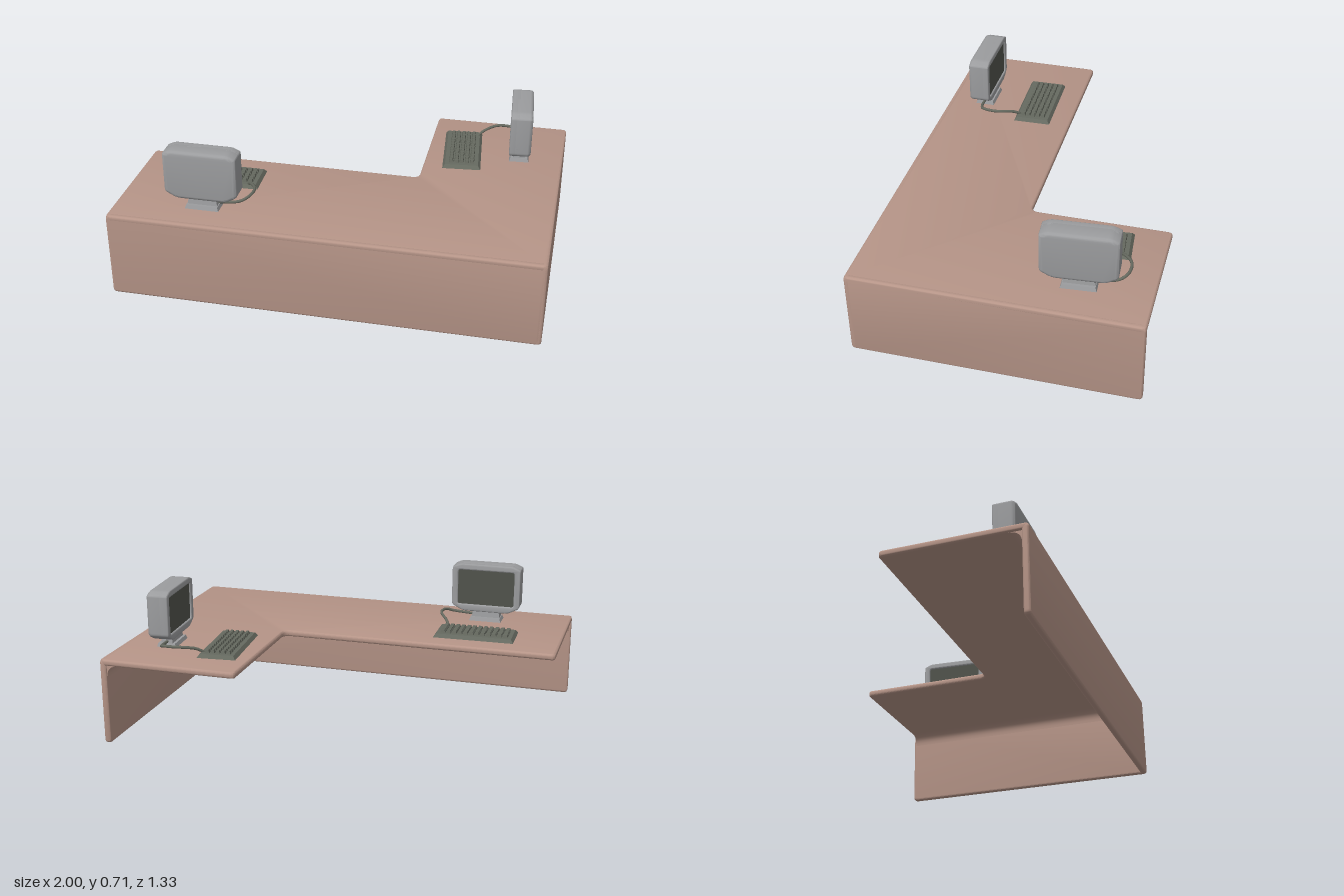
import * as THREE from 'three';
import { mergeGeometries, toCreasedNormals } from 'three/addons/utils/BufferGeometryUtils.js';

const mat = (name, color) => {
  const m = new THREE.MeshStandardMaterial({ color });
  m.name = name;
  return m;
};

// Closed outline with each corner rounded; corners are [x, y, radius]
function roundedOutline(corners, Type = THREE.Shape) {
  const path = new Type();
  const n = corners.length;
  const toward = (a, b, d) => {
    const len = Math.hypot(b[0] - a[0], b[1] - a[1]);
    return [a[0] + ((b[0] - a[0]) * d) / len, a[1] + ((b[1] - a[1]) * d) / len];
  };
  corners.forEach((c, i) => {
    const start = toward(c, corners[(i + n - 1) % n], c[2]);
    const end = toward(c, corners[(i + 1) % n], c[2]);
    if (i === 0) path.moveTo(...start);
    else path.lineTo(...start);
    path.quadraticCurveTo(c[0], c[1], ...end);
  });
  path.closePath();
  return path;
}

// Slab from z = 0 to z = thickness with softened edges kept inside the outline
function slab(shape, thickness, bevel) {
  const g = new THREE.ExtrudeGeometry(shape, {
    depth: thickness - 2 * bevel, bevelEnabled: true, bevelThickness: bevel,
    bevelSize: bevel, bevelOffset: -bevel, bevelSegments: 3, curveSegments: 5,
  });
  return toCreasedNormals(g.translate(0, 0, bevel), 0.7);
}

// Box with its top face shrunk by an inset
function taperedBox(w, h, d, inset) {
  const g = new THREE.BoxGeometry(w, h, d).translate(0, h / 2, 0);
  const p = g.attributes.position;
  for (let i = 0; i < p.count; i++) {
    if (p.getY(i) > h / 2) {
      p.setX(i, p.getX(i) - Math.sign(p.getX(i)) * inset);
      p.setZ(i, p.getZ(i) - Math.sign(p.getZ(i)) * inset);
    }
  }
  g.computeVertexNormals();
  return g;
}

export function createModel() {
  const wood = mat('desk rose brown', 0xb59487);
  const shell = mat('monitor grey', 0x9b9c9e);
  const dark = mat('keyboard grey green', 0x666a60);
  const glass = mat('screen dark grey', 0x50534c);

  const model = new THREE.Group();
  model.name = 'cornerDeskWithComputers';
  const add = (parent, name, geometry, material) => {
    const m = new THREE.Mesh(geometry, material);
    m.name = name;
    parent.add(m);
    return m;
  };

  const H = 0.415, T = 0.03, D = 0.665, R = 0.02;

  // L-shaped desk top
  const top = roundedOutline([
    [-1, -D, R], [1, -D, R], [1, D, R], [0.335, D, R], [0.335, 0, 0.035], [-1, 0, R],
  ]);
  add(model, 'deskTop', slab(top, T, 0.009).rotateX(-Math.PI / 2).translate(0, H - T, 0), wood);

  // Two upright panels under the outer edges
  const panel = (half) => slab(roundedOutline([
    [-half, 0, R], [half, 0, R], [half, H, R], [-half, H, R],
  ]), T, 0.009);
  add(model, 'frontPanel', panel(1).translate(0, 0, D - T), wood);
  add(model, 'sidePanel', panel(D).rotateY(-Math.PI / 2).translate(1, 0, 0), wood);

  // Curved transitions between panels and top
  const fillet = (length) => {
    const r = 0.06, e = 0.004;
    const s = new THREE.Shape();
    s.moveTo(e, e);
    s.lineTo(-r, e);
    s.lineTo(-r, 0);
    s.quadraticCurveTo(0, 0, 0, -r);
    s.lineTo(e, -r);
    s.closePath();
    return toCreasedNormals(
      new THREE.ExtrudeGeometry(s, { depth: length, bevelEnabled: false, curveSegments: 8 }), 0.6);
  };
  add(model, 'sideFillet', fillet(2 * D - 0.02), wood).position.set(1 - T, H - T, -D + 0.01);
  const frontFillet = add(model, 'frontFillet', fillet(1.98), wood);
  frontFillet.rotation.y = -Math.PI / 2;
  frontFillet.position.set(0.99, H - T, D - T);

  // Monitor parts, screen toward +z, standing on y = 0
  const outline = () => roundedOutline([
    [-0.115, 0.05, 0.02], [0.115, 0.05, 0.02], [0.172, 0.08, 0.015], [0.172, 0.275, 0.006],
    [0.135, 0.292, 0.015], [-0.135, 0.292, 0.015], [-0.172, 0.275, 0.006], [-0.172, 0.08, 0.015],
  ]);
  const opening = [
    [-0.142, 0.085, 0.012], [0.142, 0.085, 0.012], [0.142, 0.262, 0.012], [-0.142, 0.262, 0.012],
  ];
  const bodyGeo = slab(outline(), 0.092, 0.016).translate(0, 0, -0.053);
  const frameShape = outline();
  frameShape.holes.push(roundedOutline(opening, THREE.Path));
  const frameGeo = slab(frameShape, 0.045, 0.006).translate(0, 0, 0.006);
  const screenGeo = new THREE.ShapeGeometry(roundedOutline([
    [-0.15, 0.077, 0.012], [0.15, 0.077, 0.012], [0.15, 0.27, 0.012], [-0.15, 0.27, 0.012],
  ])).translate(0, 0, 0.043);
  const footGeo = taperedBox(0.16, 0.018, 0.095, 0.006);
  const neckGeo = taperedBox(0.145, 0.06, 0.062, 0.008);

  // Keyboard parts
  const plateGeo = taperedBox(0.39, 0.017, 0.185, 0.012);
  const keys = [];
  for (let row = 0; row < 5; row++) {
    for (let col = 0; col < 12; col++) {
      keys.push(taperedBox(0.024, 0.016, 0.021, 0.004)
        .translate((col - 5.5) * 0.0277, 0.015, (row - 2) * 0.0255));
    }
  }
  const keysGeo = mergeGeometries(keys);

  // Cable from the keyboard's rear corner to the monitor stand
  const cablePath = new THREE.CatmullRomCurve3([
    [-0.148, 0.014, 0.215], [-0.17, 0.036, 0.182], [-0.203, 0.049, 0.13], [-0.212, 0.051, 0.09],
    [-0.2, 0.048, 0.035], [-0.165, 0.035, 0.01], [-0.06, 0.025, 0],
  ].map((p) => new THREE.Vector3(...p)));
  const cableGeo = new THREE.TubeGeometry(cablePath, 32, 0.007, 8);

  function workstation(name, x, z, turn) {
    const g = new THREE.Group();
    g.name = name;
    add(g, 'monitorBody', bodyGeo, shell);
    add(g, 'screenFrame', frameGeo, shell);
    add(g, 'screen', screenGeo, glass);
    add(g, 'monitorFoot', footGeo, shell);
    add(g, 'monitorNeck', neckGeo, shell);
    add(g, 'cable', cableGeo, dark);
    const keyboard = new THREE.Group();
    keyboard.name = 'keyboard';
    add(keyboard, 'keyboardPlate', plateGeo, dark);
    add(keyboard, 'keys', keysGeo, dark);
    keyboard.position.z = 0.28;
    keyboard.rotation.y = 0.02;
    g.add(keyboard);
    g.position.set(x, H, z);
    g.rotation.y = turn;
    model.add(g);
  }
  workstation('rightWorkstation', -0.587, 0.477, Math.PI);
  workstation('leftWorkstation', 0.785, -0.335, -1.5);

  return model;
}
